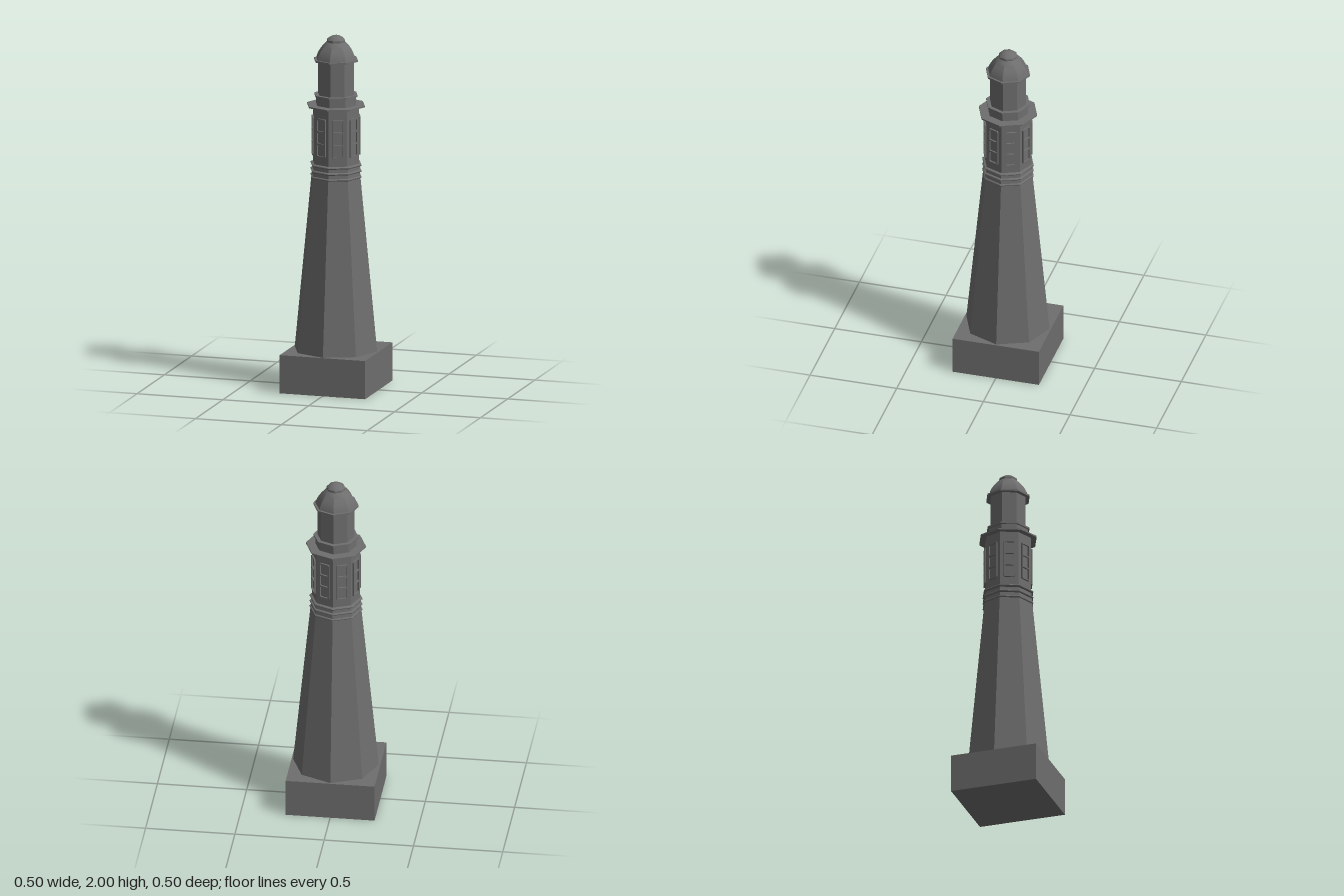
import * as THREE from 'three';
import { toCreasedNormals } from 'three/addons/utils/BufferGeometryUtils.js';

const material = new THREE.MeshStandardMaterial({ color: 0x6e6e6e });

function add(parent, name, geometry) {
  const mesh = new THREE.Mesh(geometry, material);
  mesh.name = name;
  parent.add(mesh);
  return mesh;
}

// Eight-sided solid turned from [radius, height] points, with corners on the axes
function octagon(parent, name, profile) {
  const points = profile.map(([r, y]) => new THREE.Vector2(r, y));
  return add(parent, name, toCreasedNormals(new THREE.LatheGeometry(points, 8), 0.6));
}

// Flat octagonal slab
const slab = (parent, name, r, y0, y1) =>
  octagon(parent, name, [[0, y0], [r, y0], [r, y1], [0, y1]]);

// Rectangle with clipped corners
function clippedRect(path, x, y, w, h, c) {
  path.moveTo(x + c, y);
  path.lineTo(x + w - c, y);
  path.lineTo(x + w, y + c);
  path.lineTo(x + w, y + h - c);
  path.lineTo(x + w - c, y + h);
  path.lineTo(x + c, y + h);
  path.lineTo(x, y + h - c);
  path.lineTo(x, y + c);
  path.closePath();
  return path;
}

// Raised window frame with three panes
function windowGeometry(w, h, depth) {
  const shape = clippedRect(new THREE.Shape(), -w / 2, -h / 2, w, h, 0.005);
  const bar = 0.008, panes = 3;
  const paneH = (h - bar * (panes + 1)) / panes;
  for (let i = 0; i < panes; i++) {
    const y = -h / 2 + bar + i * (paneH + bar);
    shape.holes.push(clippedRect(new THREE.Path(), -w / 2 + bar, y, w - 2 * bar, paneH, 0.003));
  }
  return new THREE.ExtrudeGeometry(shape, { depth, bevelEnabled: false });
}

export function createModel() {
  const model = new THREE.Group();
  model.name = 'lighthouse';

  // Square plinth
  const plinth = add(model, 'plinth', new THREE.BoxGeometry(0.498, 0.217, 0.498));
  plinth.position.y = 0.1085;

  // Tapered tower and the rounded bands around its neck
  octagon(model, 'tower', [[0, 0.217], [0.24, 0.217], [0.135, 1.28], [0, 1.28]]);
  for (let i = 0; i < 3; i++) {
    const profile = [];
    for (let k = 0; k <= 6; k++) {
      const a = (k / 6 - 0.5) * Math.PI;
      profile.push([0.134 + 0.015 * Math.cos(a), 1.204 + i * 0.034 + 0.008 * Math.sin(a)]);
    }
    octagon(model, 'neckBand', profile);
  }

  // Watch room with a window in each face
  slab(model, 'watchRoom', 0.135, 1.28, 1.605);
  const frame = windowGeometry(0.064, 0.22, 0.01);
  for (let i = 0; i < 8; i++) {
    const angle = (i + 0.5) * Math.PI / 4;
    const apothem = 0.135 * Math.cos(Math.PI / 8) - 0.001;
    const mesh = add(model, 'windowFrame', frame);
    mesh.position.set(Math.sin(angle) * apothem, 1.436, Math.cos(angle) * apothem);
    mesh.rotation.y = angle;
  }

  // Gallery deck, lantern base and lantern room
  slab(model, 'galleryDeck', 0.168, 1.602, 1.61);
  slab(model, 'lanternBase', 0.116, 1.61, 1.66);
  slab(model, 'lanternSill', 0.126, 1.658, 1.668);
  slab(model, 'lanternRoom', 0.104, 1.668, 1.86);

  // Eave, gently curved roof and cap
  slab(model, 'eave', 0.127, 1.858, 1.868);
  octagon(model, 'roof', [
    [0, 1.868], [0.115, 1.868], [0.11, 1.886], [0.1, 1.908],
    [0.086, 1.929], [0.07, 1.948], [0.052, 1.966], [0, 1.966]
  ]);
  octagon(model, 'roofCap', [
    [0, 1.963], [0.053, 1.963], [0.053, 1.976], [0.047, 1.983],
    [0.035, 1.992], [0.018, 2], [0, 2]
  ]);

  return model;
}
